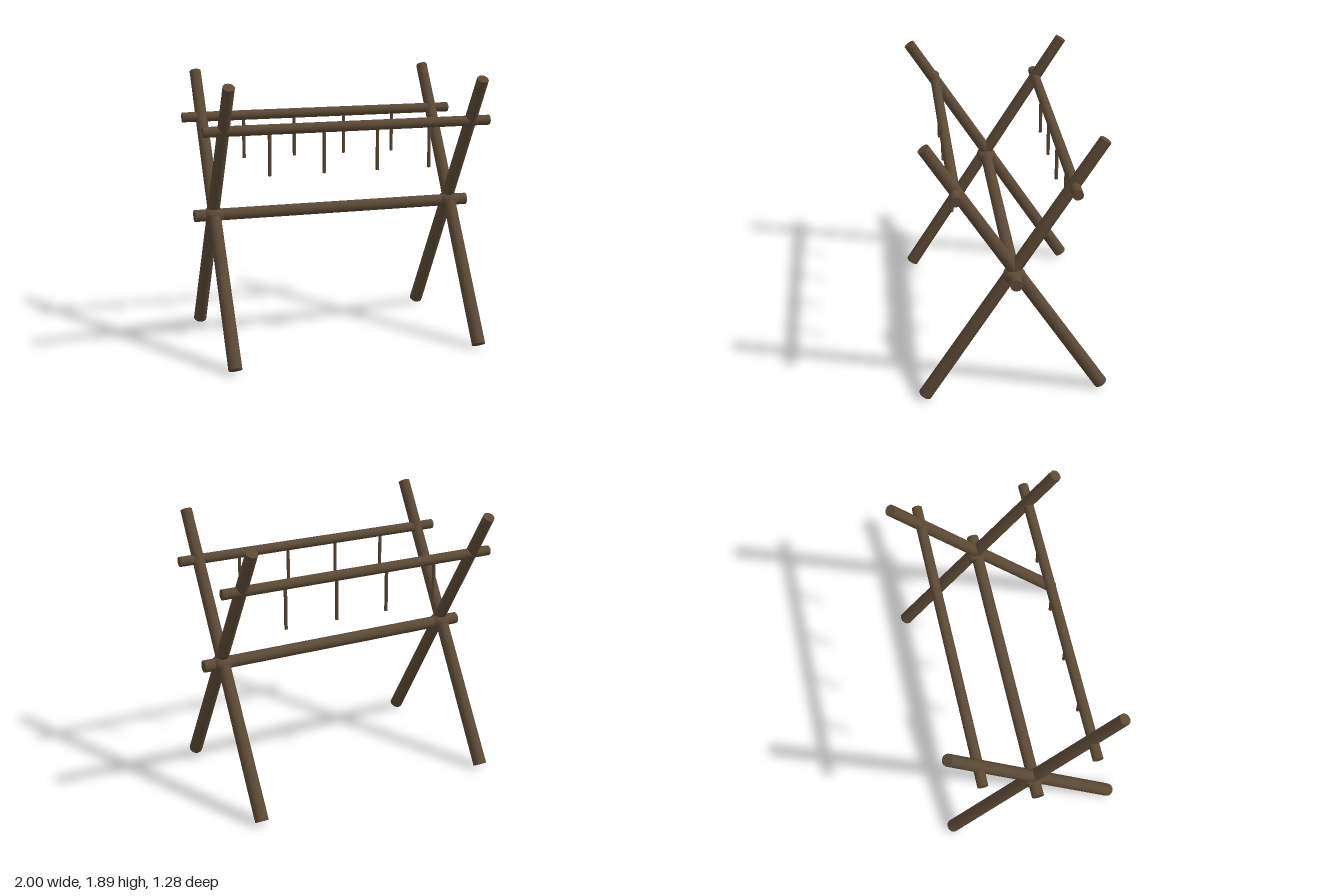
import * as THREE from 'three';

export function createModel() {
  const group = new THREE.Group();
  const wood = new THREE.MeshStandardMaterial({ color: 0x5c4a36 });
  wood.name = 'dark brown wood';

  // Round pole between two points, with a radius for each end
  function pole(name, a, b, ra, rb, sides = 12) {
    const start = new THREE.Vector3(...a), end = new THREE.Vector3(...b);
    const dir = end.clone().sub(start);
    const mesh = new THREE.Mesh(new THREE.CylinderGeometry(rb, ra, dir.length(), sides), wood);
    mesh.position.copy(start).add(end).multiplyScalar(0.5);
    mesh.quaternion.setFromUnitVectors(new THREE.Vector3(0, 1, 0), dir.normalize());
    mesh.name = name;
    group.add(mesh);
  }

  // Crossed legs and the lashing knot at each end
  for (const x of [-0.865, 0.865]) {
    for (const s of [-1, 1]) {
      pole('crossedLeg', [x, 0.025, 0.6 * s], [x, 1.868, -0.557 * s], 0.047, 0.04);
    }
    const knot = new THREE.Mesh(new THREE.SphereGeometry(1, 12, 8), wood);
    knot.scale.set(0.078, 0.06, 0.075);
    knot.position.set(x, 0.937, 0);
    knot.name = 'lashingKnot';
    group.add(knot);
  }

  // Middle beam resting at the crossing
  pole('middleBeam', [-1, 0.937, 0], [1, 0.937, 0], 0.042, 0.042);

  // Upper rails, each with four hanging pegs
  for (const z of [-0.373, 0.373]) {
    pole('upperRail', [-1, 1.565, z], [1, 1.565, z], 0.035, 0.035);
    for (const x of [-0.56, -0.187, 0.187, 0.56]) {
      pole('hangingPeg', [x, 1.257, z], [x, 1.56, z], 0.012, 0.012, 8);
    }
  }
  return group;
}
